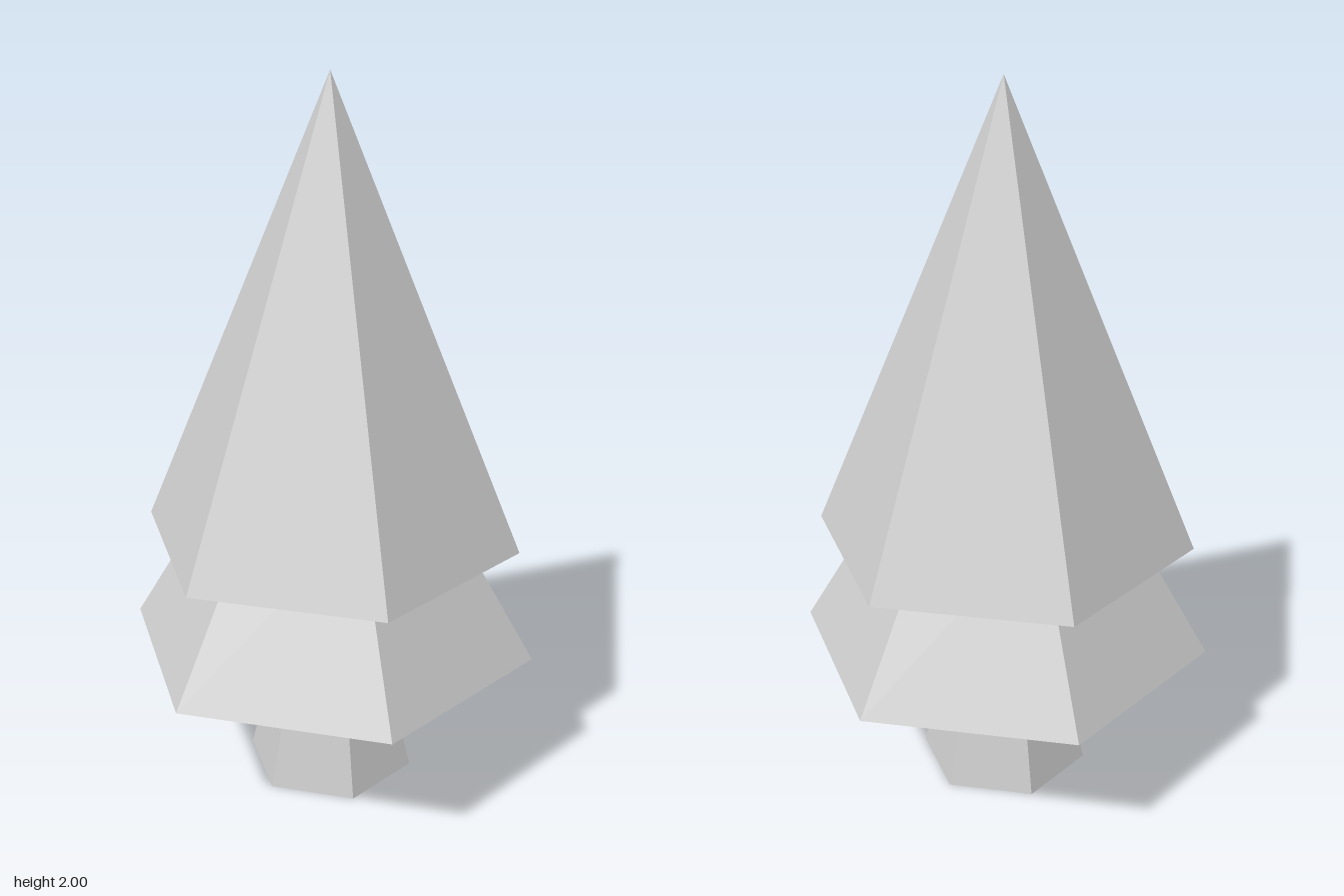
import * as THREE from 'three';

const material = new THREE.MeshStandardMaterial({
  color: 0xcccccc,
  flatShading: true,
  side: THREE.DoubleSide,
});

// Open six-sided tier with corners on the x axis, from height y0 up to y1.
function tier(name, bottomRadius, topRadius, y0, y1) {
  const geometry = new THREE.CylinderGeometry(
    topRadius, bottomRadius, y1 - y0, 6, 1, true, Math.PI / 6);
  const mesh = new THREE.Mesh(geometry, material);
  mesh.name = name;
  mesh.position.y = (y0 + y1) / 2;
  return mesh;
}

export function createModel() {
  const tree = new THREE.Group();
  tree.name = 'pineTree';
  tree.add(
    tier('trunk', 0.24, 0.12, 0, 0.5),
    tier('lowerBranches', 0.58, 0.29, 0.405, 0.9),
    tier('upperBranches', 0.53, 0, 0.73, 2),
  );
  return tree;
}
